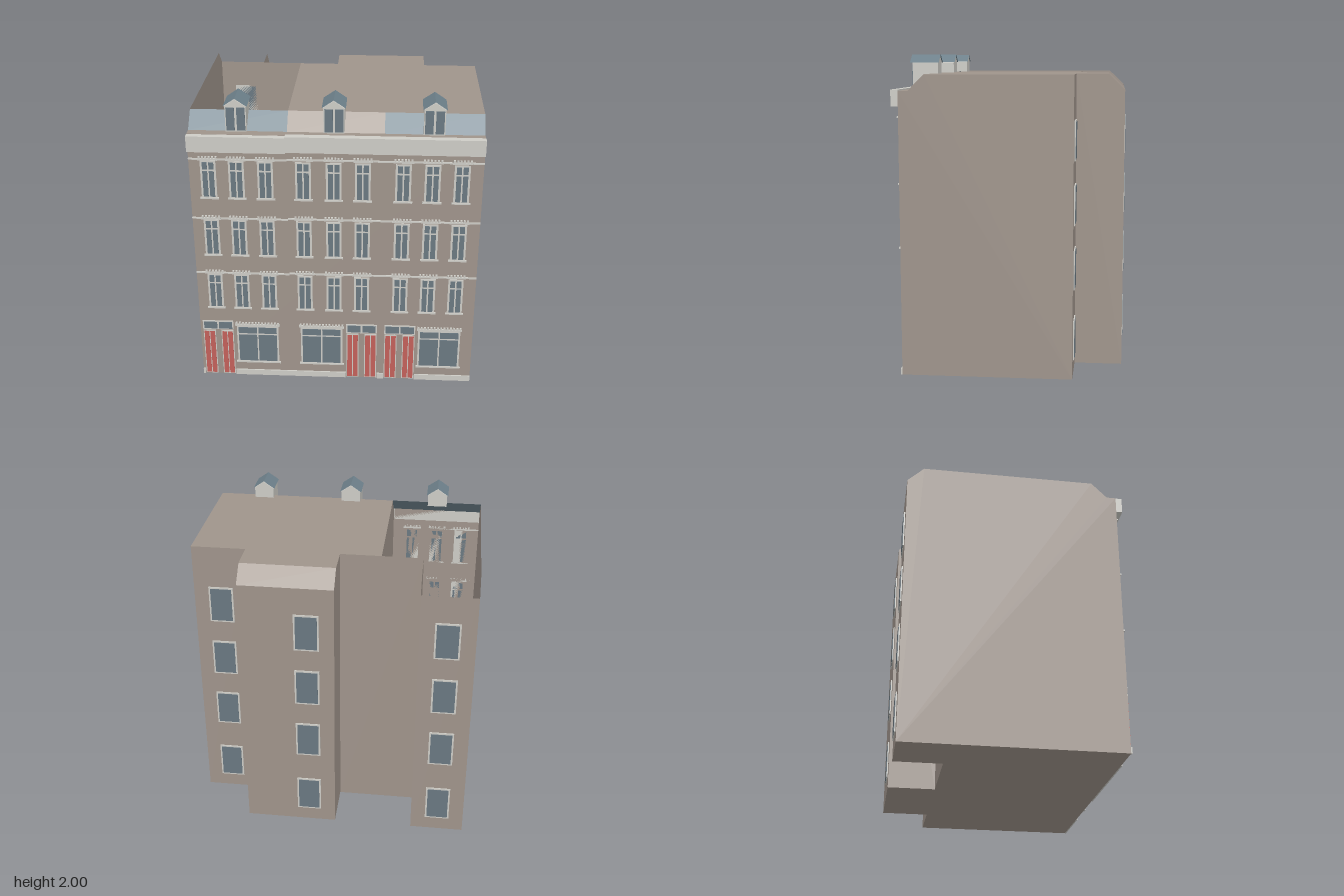
import * as THREE from 'three';

const mat = (name, color) => Object.assign(new THREE.MeshStandardMaterial({ color }), { name });

export function createModel() {
  const brick = mat('brick', 0x9f948b);
  brick.side = THREE.DoubleSide;
  const trim = mat('pale trim', 0xcdccc6);
  const glass = mat('window glass', 0x6a7881);
  const slate = mat('slate', 0x6d808a);
  slate.side = THREE.DoubleSide;
  const red = mat('red door', 0xc2605a);
  const model = new THREE.Group();
  model.name = 'townhouseRow';

  const group = (name, parent = model) => {
    const g = new THREE.Group();
    g.name = name;
    parent.add(g);
    return g;
  };
  const add = (name, geo, material, parent) => {
    const m = new THREE.Mesh(geo, material);
    m.name = name;
    parent.add(m);
    return m;
  };
  // box given by its limits
  const box = (name, material, parent, x0, x1, y0, y1, z0, z1) =>
    add(name, new THREE.BoxGeometry(x1 - x0, y1 - y0, z1 - z0), material, parent)
      .position.set((x0 + x1) / 2, (y0 + y1) / 2, (z0 + z1) / 2);
  // flat polygon, fanned from its first corner
  const face = (name, material, parent, pts) => {
    const v = [];
    for (let i = 1; i < pts.length - 1; i++) v.push(...pts[0], ...pts[i], ...pts[i + 1]);
    const g = new THREE.BufferGeometry();
    g.setAttribute('position', new THREE.Float32BufferAttribute(v, 3));
    g.computeVertexNormals();
    add(name, g, material, parent);
  };

  const X = 0.91, F = 0.67, B = -0.40, W = -0.705, TOP = 1.88, EAVE = 1.78, PARTY = -0.3;

  // outer walls
  const walls = group('walls');
  const wallZ = (name, x0, x1, z, h) =>
    face(name, brick, walls, [[x0, 0, z], [x1, 0, z], [x1, h, z], [x0, h, z]]);
  const wallX = (name, x, pts, flip) => {
    const p = pts.map(([z, y]) => [x, y, z]);
    face(name, brick, walls, flip ? p.reverse() : p);
  };
  const front = [[F, 0], [F, EAVE], [0.61, EAVE], [0.51, TOP]];
  const wing = [[B, 0], [B, TOP], [-0.6, TOP], [W, EAVE], [W, 0]];
  wallZ('frontWall', -X, X, F, EAVE);
  wallX('leftSideWall', X, [[B, 0], [B, TOP], ...front.slice().reverse()]);
  const rightSide = [[W, 0], ...front, [-0.6, TOP], [W, EAVE]];
  wallX('rightSideWall', -X, rightSide);
  wallX('partyWall', PARTY, [[B, 0], ...front, [B, TOP]]);
  wallZ('leftBackWall', X, 0.56, B, TOP);
  wallZ('middleBackWall', -0.04, -0.56, B, TOP);
  wallZ('middleWingBack', 0.56, -0.04, W, EAVE);
  wallZ('rightWingBack', -0.56, -X, W, EAVE);
  wallX('middleWingLeftSide', 0.56, wing, true);
  wallX('middleWingRightSide', -0.04, wing);
  wallX('rightWingSide', -0.56, wing, true);

  // floor and flat roof, the right-hand house being open on top
  const slab = (name, x0, x1, z0, z1, y) =>
    face(name, brick, walls, [[x0, y, z1], [x1, y, z1], [x1, y, z0], [x0, y, z0]]);
  slab('floor', -X, X, B, F, 0);
  slab('rightWingFloor', -X, -0.56, W, B, 0);
  slab('middleWingFloor', -0.04, 0.56, W, B, 0);
  slab('flatRoof', PARTY, X, B, 0.51, TOP);
  slab('middleWingRoof', -0.04, 0.56, -0.6, B, TOP);
  slab('eaveLedge', -X, X, 0.61, F, EAVE);
  face('middleWingSlope', brick, walls,
    [[-0.04, TOP, -0.6], [0.56, TOP, -0.6], [0.56, EAVE, W], [-0.04, EAVE, W]]);

  // front roof slopes
  for (const [name, m, x0, x1] of [['rightSlope', slate, -X, PARTY],
    ['middleSlope', brick, PARTY, 0.3], ['leftSlope', slate, 0.3, X]])
    face(name, m, walls, [[x0, EAVE, 0.61], [x1, EAVE, 0.61], [x1, TOP, 0.51], [x0, TOP, 0.51]]);

  // cornices
  box('rightCornice', trim, model, -X, -0.305, 1.675, 1.778, F, 0.71);
  box('leftCornice', trim, model, -0.305, X, 1.685, 1.788, F, 0.715);

  // dormers
  for (const x of [-0.61, -0.01, 0.6]) {
    const d = group('dormer');
    d.position.x = x;
    const side = new THREE.Shape([[0.625, 1.782], [0.625, 1.95], [0.465, 1.95], [0.465, 1.87], [0.52, 1.87]]
      .map(p => new THREE.Vector2(...p)));
    const body = new THREE.ExtrudeGeometry(side, { depth: 0.13, bevelEnabled: false });
    add('dormerBody', body.rotateY(-Math.PI / 2).translate(0.065, 0, 0), trim, d);
    const tri = new THREE.Shape([[-0.068, 1.948], [0.068, 1.948], [0, 1.993]]
      .map(p => new THREE.Vector2(...p)));
    const gable = new THREE.ExtrudeGeometry(tri, { depth: 0.175, bevelEnabled: false });
    add('dormerGable', gable.translate(0, 0, 0.462), trim, d);
    for (const s of [-1, 1]) {
      face('dormerRoof', slate, d, [[0, 2, 0.64], [s * 0.073, 1.95, 0.64],
        [s * 0.073, 1.95, 0.457], [0, 2, 0.457]].sort(() => 0));
      box('dormerPane', glass, d, Math.min(s * 0.007, s * 0.058), Math.max(s * 0.007, s * 0.058),
        1.79, 1.938, 0.62, 0.63);
    }
  }

  // window: pale plate, two tall panes with a transom above, and a sill
  const facade = group('facade');
  const windowAt = (x, y0, y1, w, border, transom) => {
    const g = group('window', facade);
    box('windowFrame', trim, g, x - w / 2, x + w / 2, y0, y1, F, F + 0.006);
    box('windowSill', trim, g, x - w / 2 - 0.01, x + w / 2 + 0.01, y0 - 0.007, y0 + 0.003, F, F + 0.012);
    for (const s of [-1, 1]) {
      const a = x + s * 0.005, b = x + s * (w / 2 - border);
      const [l, r] = [Math.min(a, b), Math.max(a, b)];
      box('lowerPane', glass, g, l, r, y0 + border * 0.7, transom - 0.006, F, F + 0.009);
      box('upperPane', glass, g, l, r, transom + 0.006, y1 - border * 0.8, F, F + 0.009);
    }
  };
  // toothed lintel
  const lintel = (x, y, w) => {
    const g = group('lintel', facade);
    box('lintelBar', trim, g, x - w / 2, x + w / 2, y, y + 0.012, F, F + 0.011);
    const n = Math.round(w / 0.021);
    for (let i = 0; i < n; i++) {
      const c = x - w / 2 + (i + 0.5) * w / n;
      box('lintelTooth', trim, g, c - 0.006, c + 0.006, y + 0.012, y + 0.026, F, F + 0.011);
    }
  };

  // upper floors
  const columns = [-0.79, -0.615, -0.435, -0.2, -0.01, 0.17, 0.42, 0.6, 0.78];
  [0.54, 0.94, 1.35].forEach((y) => {
    columns.forEach((x, i) => {
      windowAt(x, y, y + 0.255, 0.098, 0.013, y + 0.19);
      lintel(x, y + (i < 3 ? 0.258 : 0.264), 0.125);
    });
    box('rightStringCourse', trim, facade, -X, PARTY, y + 0.26, y + 0.27, F, F + 0.008);
    box('leftStringCourse', trim, facade, PARTY, X, y + 0.266, y + 0.276, F, F + 0.008);
  });

  // shop windows
  for (const x of [-0.525, -0.095, 0.69]) {
    windowAt(x, 0.11, 0.395, 0.28, 0.012, 0.333);
    lintel(x, 0.398, 0.3);
  }

  // double doors with fanlights
  for (const [c, gap] of [[-0.79, 0.06], [0.173, 0.06], [0.427, 0.06]]) {
    const g = group('doorway', facade);
    box('fanlightFrame', trim, g, c - 0.103, c + 0.103, 0.363, 0.43, F, F + 0.006);
    for (const s of [-1, 1]) {
      const x = c + s * gap;
      box('fanlightPane', glass, g, c + s * 0.05 - 0.044, c + s * 0.05 + 0.044, 0.371, 0.422, F, F + 0.009);
      box('doorFrame', trim, g, x - 0.041, x + 0.041, 0.005, 0.355, F, F + 0.005);
      for (const t of [-1, 1])
        box('doorLeaf', red, g, x + t * 0.019 - 0.016, x + t * 0.019 + 0.016, 0.012, 0.347, F, F + 0.008);
    }
  }

  // plinth
  for (const [x0, x1] of [[-X, -0.895], [-0.685, 0.068], [0.278, 0.322], [0.532, X]])
    box('plinth', trim, facade, x0, x1, 0, 0.04, F, F + 0.009);

  // back windows
  const back = group('backWindows');
  for (const [x, z] of [[-0.735, W], [0.135, W], [0.735, B]])
    for (const y of [0.22, 0.67, 1.075, 1.475]) {
      box('backWindowFrame', trim, back, x - 0.08, x + 0.08, y - 0.125, y + 0.125, z - 0.007, z);
      box('backWindowPane', glass, back, x - 0.069, x + 0.069, y - 0.114, y + 0.114, z - 0.01, z);
    }

  return model;
}
